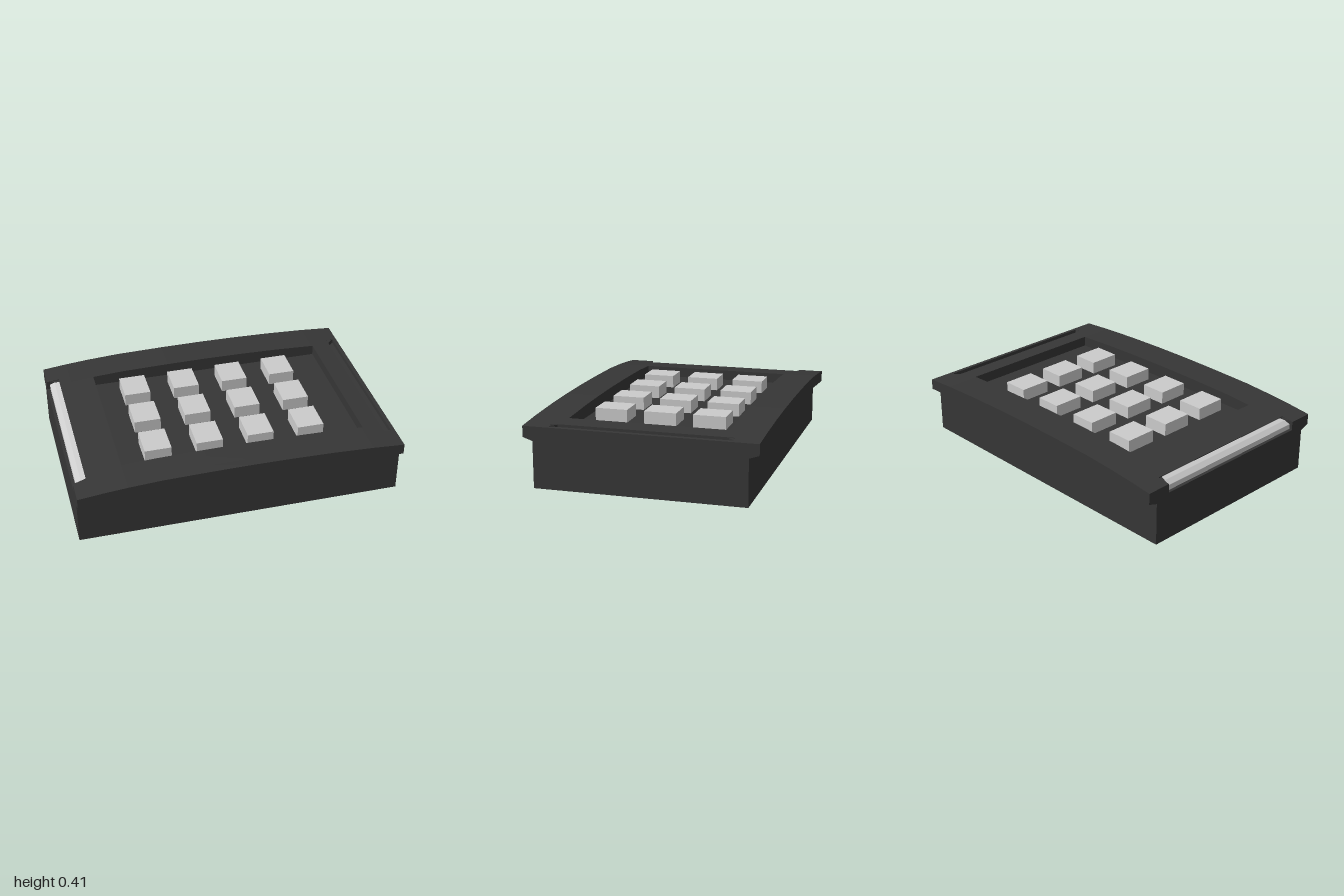
import * as THREE from 'three';

const dark = new THREE.MeshStandardMaterial({ color: 0x363636, flatShading: true });
const grey = new THREE.MeshStandardMaterial({ color: 0xcccccc, flatShading: true });

// Crown of the top plate, and underside of the overhanging lip, as [x, y]
const crown = [[-1, .355], [-.85, .372], [-.7, .385], [-.5, .397], [-.2, .403], [.05, .405],
  [.3, .403], [.55, .397], [.8, .386], [1, .372]];
const under = [[-1, .265], [-.5, .325], [-.2, .334], [.2, .334], [.5, .325], [1, .285]];

function topY(x) {
  for (let i = 1; i < crown.length; i++) {
    const [x0, y0] = crown[i - 1], [x1, y1] = crown[i];
    if (x <= x1) return y0 + (y1 - y0) * (x - x0) / (x1 - x0);
  }
  return crown.at(-1)[1];
}

// Crown points between two x positions, running from right to left
function crownRun(xr, xl) {
  const mid = crown.filter(([x]) => x < xr - 1e-4 && x > xl + 1e-4).reverse();
  return [[xr, topY(xr)], ...mid, [xl, topY(xl)]];
}

function extrude(points, z0, z1) {
  const shape = new THREE.Shape(points.map(([x, y]) => new THREE.Vector2(x, y)));
  const g = new THREE.ExtrudeGeometry(shape, { depth: z1 - z0, bevelEnabled: false });
  return g.translate(0, 0, z0);
}

// Outline of the housing in one band of z, with optional end cuts and key well
function outline(ends, well) {
  const pts = [[-1, 0], [1, 0]];
  let right = 1, left = -1;
  if (ends) {
    pts.push(...crownRun(1, .975), [.975, .345], [.93, .345]);
    right = .93;
    left = -.92;
  }
  if (well) pts.push(...crownRun(right, .81), [.81, .32], [-.7, .32], ...crownRun(-.7, left));
  else pts.push(...crownRun(right, left));
  if (ends) pts.push([-.92, .3], [-1, .3]);
  return pts;
}

// Small upright prism from a plan outline of [x, z]
function prism(points, top, height) {
  return extrude(points, 0, height).rotateX(Math.PI / 2).translate(0, top, 0);
}

export function createModel() {
  const model = new THREE.Group();
  const add = (name, geometry, material, parent = model) => {
    const mesh = new THREE.Mesh(geometry, material);
    mesh.name = name;
    parent.add(mesh);
    return mesh;
  };

  // Housing, in bands along z
  const housing = new THREE.Group();
  housing.name = 'housing';
  model.add(housing);
  add('housingMiddle', extrude(outline(true, true), -.485, .485), dark, housing);
  for (const s of [1, -1]) {
    const band = (a, b) => s > 0 ? [a, b] : [-b, -a];
    add('wellRim', extrude(outline(true, false), ...band(.485, .545)), dark, housing);
    add('housingSide', extrude(outline(false, false), ...band(.545, .64)), dark, housing);

    // Overhanging lip, whose underside rises towards its outer edge
    const lip = extrude([...under, ...crownRun(1, -1)], ...band(.64, .7));
    const p = lip.attributes.position;
    for (let i = 0; i < p.count; i++) {
      const x = p.getX(i), y = p.getY(i);
      if (Math.abs(p.getZ(i)) > .69 && y < .345) p.setY(i, y + Math.max(0, Math.abs(x) - .5) * .04);
    }
    lip.computeVertexNormals();
    add('sideLip', lip, dark, housing);

    // Slanted ends of the left notch and the right groove
    add('notchCorner', prism([[-.92, s * .52], [-.92, s * .545], [-.98, s * .545]], .358, .06), dark, housing);
    add('grooveCorner', prism([[.93, s * .51], [.93, s * .545], [.97, s * .545]], .374, .03), dark, housing);
  }

  // Bevelled end bar lying in the notch
  const bar = extrude([[-.98, .3], [-.92, .3], [-.92, .36], [-.95, .353], [-.98, .332]], -.545, .545);
  const bp = bar.attributes.position;
  for (let i = 0; i < bp.count; i++) {
    const inset = .025 * (bp.getX(i) + .98) / .06;
    bp.setZ(i, Math.sign(bp.getZ(i)) * (.545 - inset));
  }
  bar.computeVertexNormals();
  add('endBar', bar, grey);

  // Four by three grid of keys
  const keys = new THREE.Group();
  keys.name = 'keys';
  model.add(keys);
  const keyShape = new THREE.BoxGeometry(.165, .08, .2);
  for (const x of [-.46, -.14, .18, .5]) {
    for (const z of [-.305, 0, .305]) {
      add('key', keyShape, grey, keys).position.set(x, .358, z);
    }
  }
  return model;
}
